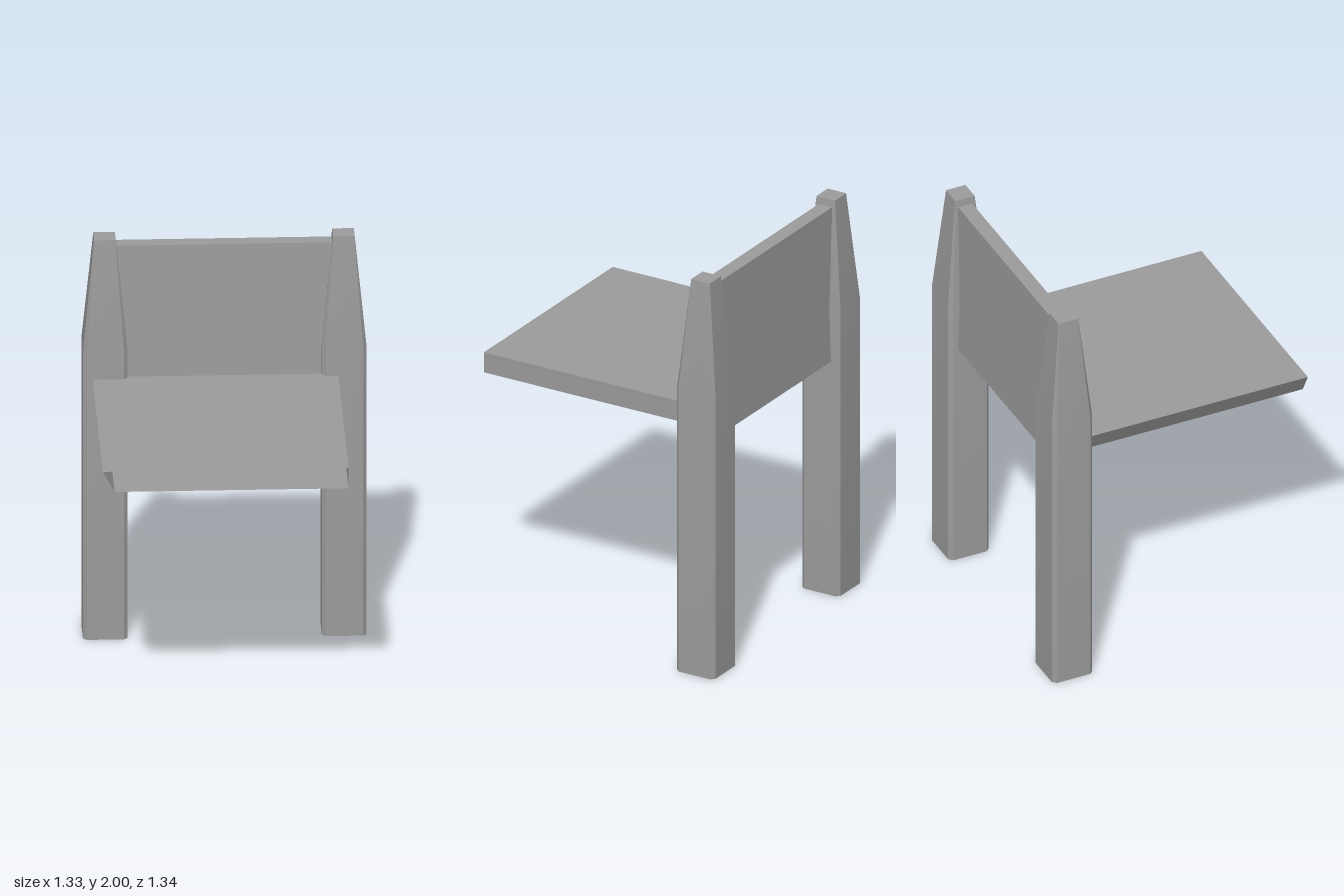
import * as THREE from 'three';
import { toCreasedNormals } from 'three/addons/utils/BufferGeometryUtils.js';

const material = new THREE.MeshStandardMaterial({ color: 0x9b9b9b, side: THREE.DoubleSide });

// Joins matching rings of [x, y, z] points into a skin, with optional flat caps.
// Corners stay sharp; only very shallow bends are smoothed.
function loft(name, rings, { capStart = false, capEnd = false } = {}) {
  const n = rings[0].length;
  const index = [];
  for (let r = 0; r < rings.length - 1; r++) {
    for (let i = 0; i < n; i++) {
      const a = r * n + i, b = r * n + (i + 1) % n;
      index.push(a, a + n, b, b, a + n, b + n);
    }
  }
  const last = (rings.length - 1) * n;
  for (let i = 1; i < n - 1; i++) {
    if (capStart) index.push(0, i, i + 1);
    if (capEnd) index.push(last, last + i + 1, last + i);
  }
  const geometry = new THREE.BufferGeometry();
  geometry.setAttribute('position', new THREE.Float32BufferAttribute(rings.flat(2), 3));
  geometry.setIndex(index);
  const mesh = new THREE.Mesh(toCreasedNormals(geometry, 0.3), material);
  mesh.name = name;
  return mesh;
}

// Square ring with chamfered corners.
function chamferedSquare(y, half, chamfer) {
  const h = half, k = half - chamfer;
  return [[h, k], [k, h], [-k, h], [-h, k], [-h, -k], [-k, -h], [k, -h], [h, -k]]
    .map(([x, z]) => [x, y, z]);
}

// Rectangle ring, in the same order.
function rectangle(y, halfX, zBack, zFront) {
  return [[halfX, y, zFront], [-halfX, y, zFront], [-halfX, y, zBack], [halfX, y, zBack]];
}

export function createModel() {
  const model = new THREE.Group();
  model.name = 'chair';

  // Tall posts, straight below and tapering to a small flat top; open underneath
  for (const [side, name] of [[1, 'leftPost'], [-1, 'rightPost']]) {
    const post = loft(name, [
      chamferedSquare(0, 0.105, 0.018),
      chamferedSquare(1.455, 0.105, 0.018),
      chamferedSquare(2, 0.051, 0.002),
    ], { capEnd: true });
    post.position.set(side * 0.56, 0, -0.567);
    model.add(post);
  }

  // Back panel, thinner towards the top
  model.add(loft('backPanel', [
    rectangle(1.197, 0.52, -0.629, -0.486),
    rectangle(1.965, 0.52, -0.605, -0.532),
  ], { capStart: true, capEnd: true }));

  // Seat sleeve, open at the front and back, with one sloping side
  const seatRing = (z) => [[-0.62, 1.317, z], [0.532, 1.317, z], [0.532, 1.214, z], [-0.565, 1.214, z]];
  model.add(loft('seat', [seatRing(-0.495), seatRing(0.672)]));

  return model;
}
